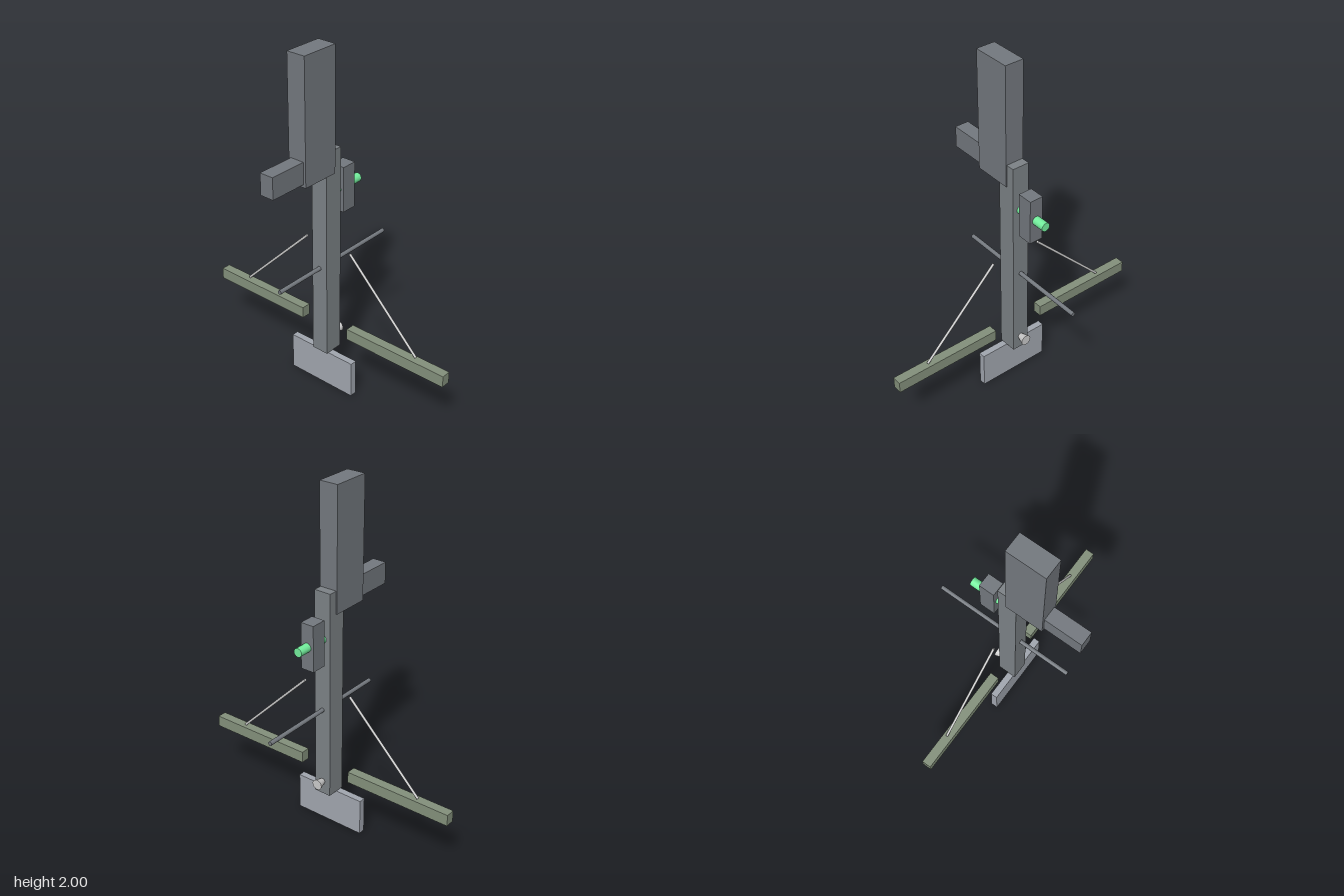
import * as THREE from 'three';

const paint = (color) => new THREE.MeshStandardMaterial({ color });
const darkSteel = paint(0x74797f);
const postSteel = paint(0x7d8387);
const plateGrey = paint(0xa2a7b0);
const brightMetal = paint(0xdcdcdc);
const olive = paint(0x84917c);
const green = paint(0x74f09e);

export function createModel() {
  const model = new THREE.Group();
  model.name = 'signalPost';

  const add = (name, geometry, material) => {
    const mesh = new THREE.Mesh(geometry, material);
    mesh.name = name;
    model.add(mesh);
    return mesh;
  };

  // Box given by its lower and upper corners
  const box = (name, [x0, y0, z0], [x1, y1, z1], material) =>
    add(name, new THREE.BoxGeometry(x1 - x0, y1 - y0, z1 - z0), material)
      .position.set((x0 + x1) / 2, (y0 + y1) / 2, (z0 + z1) / 2);

  // Round bar between two points, with a radius at each end
  const bar = (name, from, to, rFrom, rTo, sides, material) => {
    const a = new THREE.Vector3(...from);
    const b = new THREE.Vector3(...to);
    const dir = b.clone().sub(a);
    const mesh = add(name, new THREE.CylinderGeometry(rTo, rFrom, dir.length(), sides), material);
    mesh.position.copy(a).add(b).multiplyScalar(0.5);
    mesh.quaternion.setFromUnitVectors(new THREE.Vector3(0, 1, 0), dir.normalize());
  };

  // Base plate and main post
  box('basePlate', [-0.215, 0, 0.028], [0.215, 0.215, 0.067], plateGrey);
  box('post', [-0.05, 0.215, -0.032], [0.05, 1.44, 0.079], postSteel);

  // Tall upper block with a stub on its front
  box('upperBlock', [-0.055, 1.31, 0.018], [0.055, 2, 0.241], darkSteel);
  box('frontStub', [-0.041, 1.328, 0.241], [0.041, 1.45, 0.46], darkSteel);

  // Rear block carried on a pin
  bar('rearPin', [0, 1.175, -0.03], [0, 1.175, -0.231], 0.025, 0.025, 16, green);
  box('rearBlock', [-0.04, 1.043, -0.156], [0.04, 1.305, -0.066], darkSteel);

  // Rod through the post and flared knob behind its foot
  bar('crossRod', [0, 0.75, 0.39], [0, 0.75, -0.46], 0.012, 0.012, 12, darkSteel);
  bar('rearKnob', [0, 0.295, -0.025], [0, 0.295, -0.082], 0.014, 0.031, 16, brightMetal);

  // Side beams with slanted struts
  for (const [side, s] of [['left', 1], ['right', -1]]) {
    const xs = [s * 0.159, s * 0.797].sort((a, b) => a - b);
    box(side + 'Beam', [xs[0], 0.342, -0.013], [xs[1], 0.408, 0.041], olive);
    bar(side + 'Strut', [s * 0.6, 0.415, 0.009], [s * 0.15, 0.865, 0.009], 0.007, 0.007, 10, brightMetal);
  }

  return model;
}
